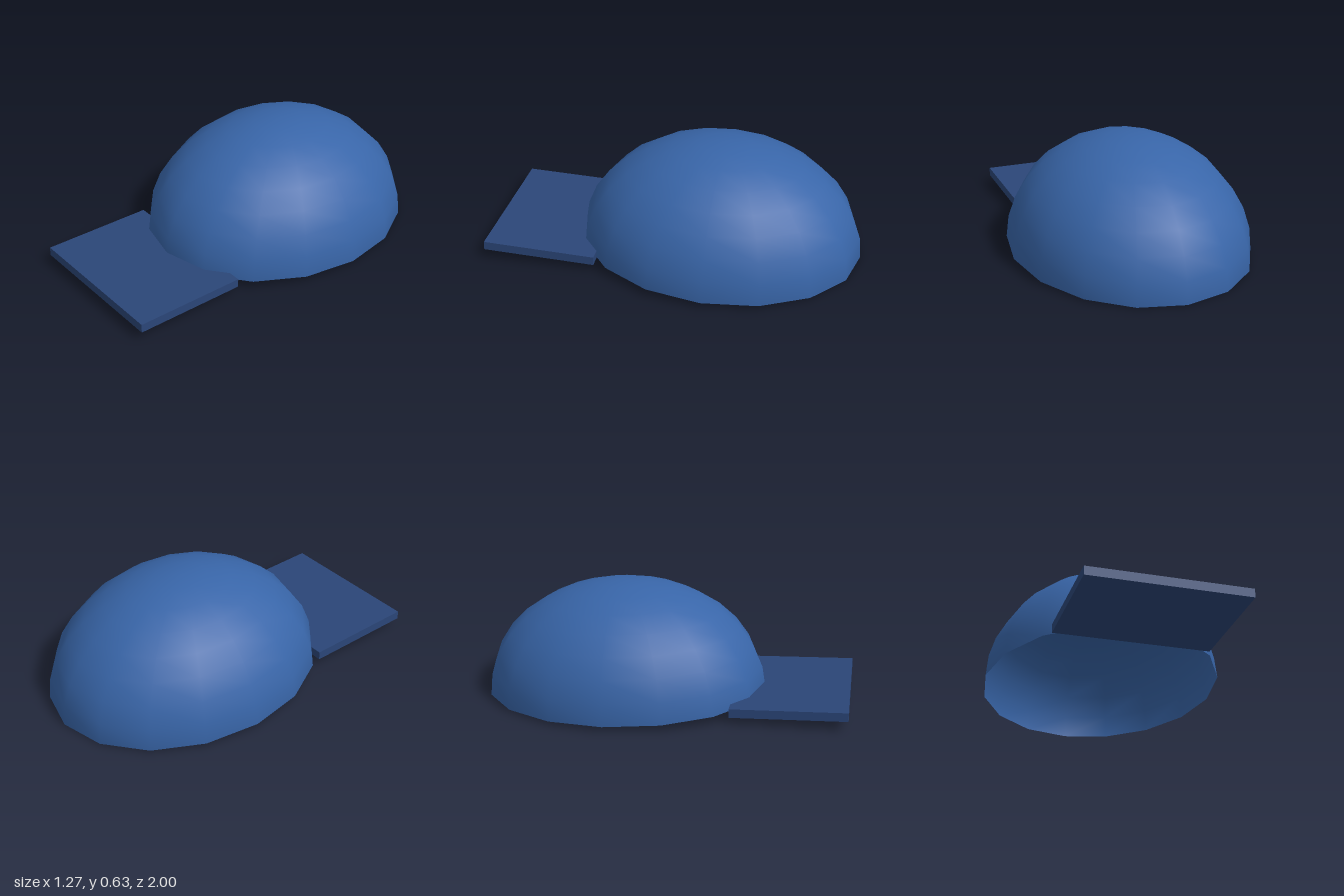
import * as THREE from 'three';

export function createModel() {
  const cap = new THREE.Group();
  cap.name = 'cap';
  const tilt = -0.035; // front edge lifted slightly

  // Crown: open half ellipsoid, thin shell
  const crown = new THREE.Mesh(
    new THREE.SphereGeometry(1, 16, 8, 0, Math.PI * 2, 0, Math.PI / 2),
    new THREE.MeshStandardMaterial({ color: 0x3865a8, side: THREE.DoubleSide })
  );
  crown.name = 'crown';
  crown.scale.set(0.635, 0.602, 0.77);
  crown.position.set(0, 0.027, -0.23);
  crown.rotation.x = tilt;
  cap.add(crown);

  // Brim: flat slab reaching a little into the crown
  const brim = new THREE.Mesh(
    new THREE.BoxGeometry(0.835, 0.047, 0.61),
    new THREE.MeshStandardMaterial({ color: 0x2b4678 })
  );
  brim.name = 'brim';
  brim.position.set(0, 0.068, 0.694);
  brim.rotation.x = tilt;
  cap.add(brim);

  return cap;
}
